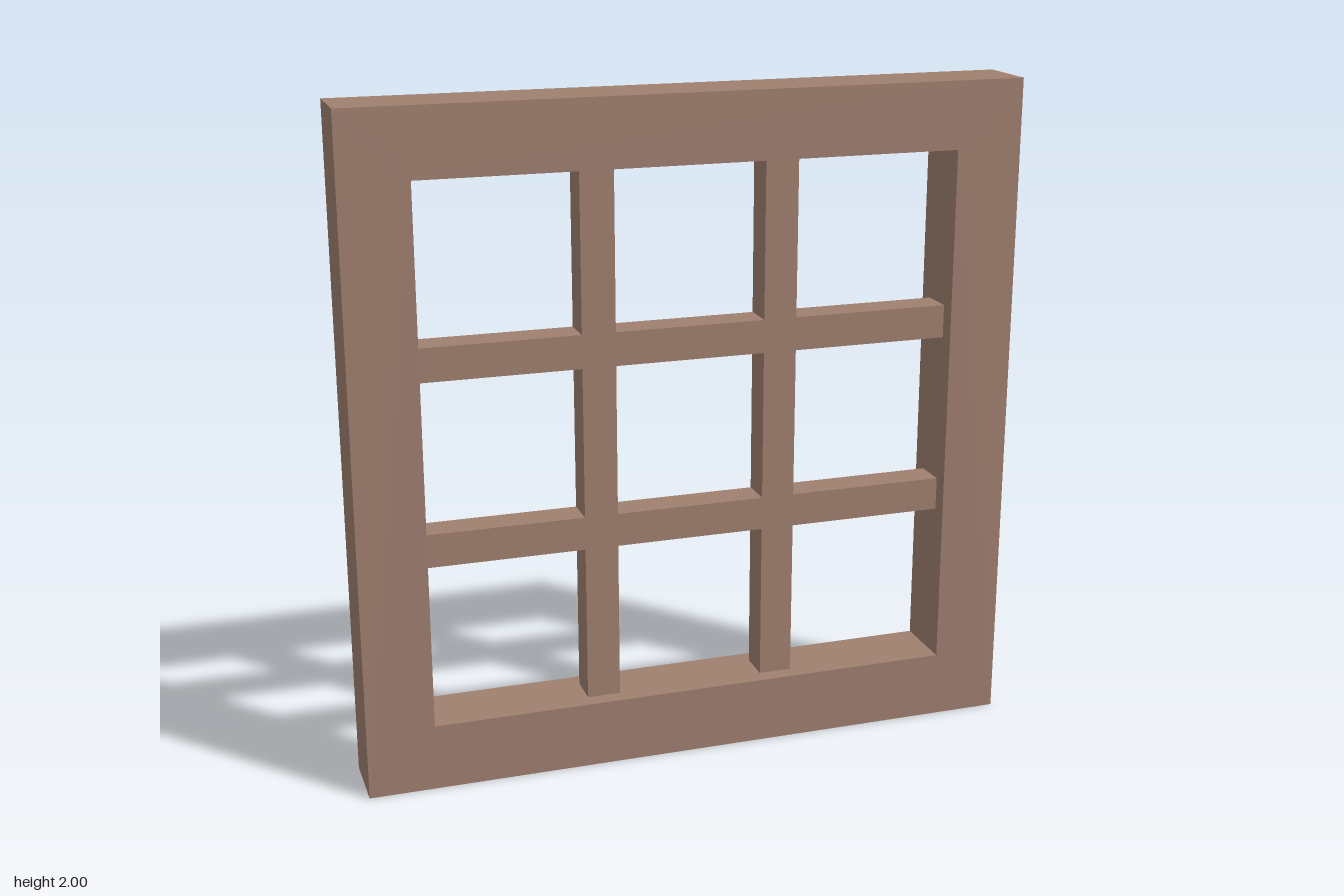
import * as THREE from 'three';

const OUTER = 1;      // half size of the frame
const INNER = 0.8;    // half size of the opening
const DEPTH = 0.2;    // frame thickness
const BAR = 0.1;      // bar width and thickness
const OFFSET = 0.275; // bar distance from the centre

function rectangle(path, half) {
  path.moveTo(-half, -half);
  path.lineTo(half, -half);
  path.lineTo(half, half);
  path.lineTo(-half, half);
  path.closePath();
  return path;
}

export function createModel() {
  const group = new THREE.Group();
  group.name = 'window';
  const wood = new THREE.MeshStandardMaterial({ color: 0xa08070 });
  wood.name = 'brown wood';

  // Square outer frame with one opening
  const outline = rectangle(new THREE.Shape(), OUTER);
  outline.holes.push(rectangle(new THREE.Path(), INNER));
  const frameGeometry = new THREE.ExtrudeGeometry(outline, { depth: DEPTH, bevelEnabled: false });
  frameGeometry.translate(0, OUTER, -DEPTH / 2);
  const frame = new THREE.Mesh(frameGeometry, wood);
  frame.name = 'frame';
  group.add(frame);

  const addBar = (name, width, height, x, y) => {
    const bar = new THREE.Mesh(new THREE.BoxGeometry(width, height, BAR), wood);
    bar.name = name;
    bar.position.set(x, OUTER + y, 0);
    group.add(bar);
  };

  // Full-height vertical bars
  for (const side of [-1, 1]) addBar('verticalBar', BAR, INNER * 2, side * OFFSET, 0);

  // Horizontal bars, cut to fit between the vertical ones
  const near = OFFSET - BAR / 2;
  const far = OFFSET + BAR / 2;
  for (const row of [-1, 1]) {
    for (const [from, to] of [[-INNER, -far], [-near, near], [far, INNER]]) {
      addBar('horizontalBar', to - from, BAR, (from + to) / 2, row * OFFSET);
    }
  }
  return group;
}
